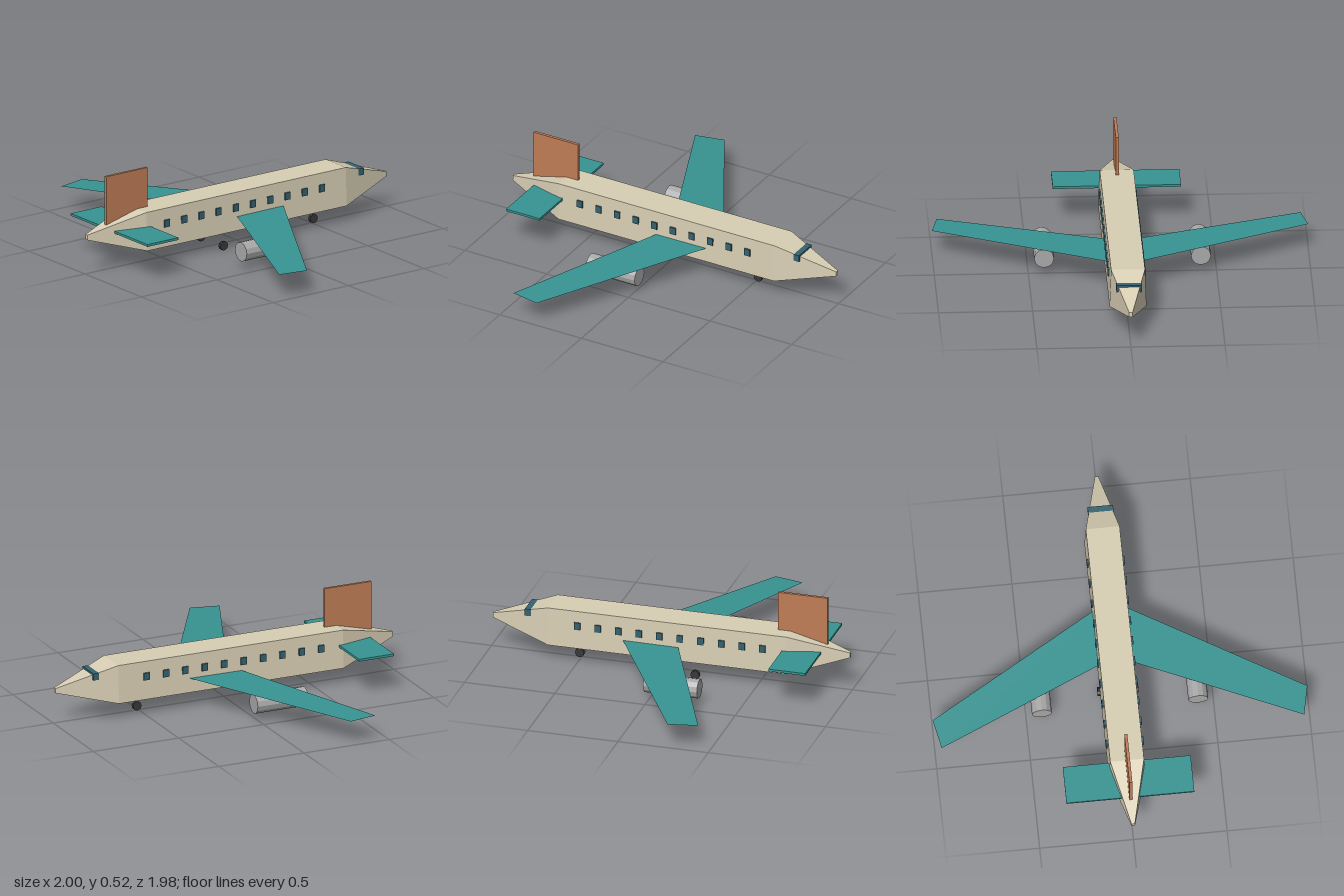
import * as THREE from 'three';

const mat = (name, color, extra = {}) => {
  const m = new THREE.MeshStandardMaterial({ color, flatShading: true, ...extra });
  m.name = name;
  return m;
};

// Flat-faced loft through four-cornered sections running along z
function loft(sections) {
  const rings = sections.map(({ z, bottom, top, wBottom, wTop }) => [
    [-wBottom, bottom, z], [wBottom, bottom, z], [wTop, top, z], [-wTop, top, z],
  ]);
  const pos = [];
  const quad = (a, b, c, d) => pos.push(...a, ...b, ...c, ...a, ...c, ...d);
  for (let i = 0; i < rings.length - 1; i++) {
    const p = rings[i], q = rings[i + 1];
    for (let k = 0; k < 4; k++) {
      const n = (k + 1) % 4;
      quad(p[k], p[n], q[n], q[k]);
    }
  }
  const first = rings[0], last = rings[rings.length - 1];
  quad(first[3], first[2], first[1], first[0]);
  quad(last[0], last[1], last[2], last[3]);
  const g = new THREE.BufferGeometry();
  g.setAttribute('position', new THREE.Float32BufferAttribute(pos, 3));
  g.computeVertexNormals();
  return g;
}

// Swept wing sheet; s is the side, +1 or -1
function wingGeometry(s) {
  const corners = [[0.07, 0.17, -0.258], [0.07, 0.168, 0.053], [0.967, 0.136, 0.435], [1, 0.137, 0.275]];
  const g = new THREE.BufferGeometry();
  g.setAttribute('position', new THREE.Float32BufferAttribute(corners.flatMap(([x, y, z]) => [s * x, y, z]), 3));
  g.setIndex(s > 0 ? [0, 1, 2, 0, 2, 3] : [0, 2, 1, 0, 3, 2]);
  g.computeVertexNormals();
  return g;
}

export function createModel() {
  const model = new THREE.Group();
  model.name = 'airliner';
  const cream = mat('cream body', 0xd8ceb4);
  const teal = mat('teal wing', 0x379492);
  const tealSheet = mat('teal wing', 0x379492, { side: THREE.DoubleSide });
  const rust = mat('rust fin', 0xbf7d56);
  const grey = mat('engine grey', 0xa8a9a8);
  const glass = mat('window blue', 0x356270);
  const rubber = mat('tyre black', 0x38383a);

  const add = (name, geometry, material, x = 0, y = 0, z = 0) => {
    const m = new THREE.Mesh(geometry, material);
    m.name = name;
    m.position.set(x, y, z);
    model.add(m);
    return m;
  };
  const box = (w, h, d) => new THREE.BoxGeometry(w, h, d);

  // Body with tapered nose (-z) and tail (+z)
  add('fuselage', loft([
    { z: -0.99, bottom: 0.171, top: 0.197, wBottom: 0.01, wTop: 0.009 },
    { z: -0.66, bottom: 0.09, top: 0.302, wBottom: 0.098, wTop: 0.09 },
    { z: 0.66, bottom: 0.09, top: 0.302, wBottom: 0.098, wTop: 0.09 },
    { z: 0.99, bottom: 0.19, top: 0.218, wBottom: 0.01, wTop: 0.009 },
  ]), cream);

  // Tail surfaces and windscreen
  add('tailFin', box(0.016, 0.273, 0.274), rust, 0, 0.3825, 0.728);
  add('tailplane', box(0.682, 0.013, 0.204), teal, 0, 0.215, 0.738);
  add('windscreen', box(0.136, 0.038, 0.034), glass, 0, 0.25, -0.779);

  // Parts repeated on both sides
  const engine = new THREE.CylinderGeometry(0.053, 0.053, 0.298, 12).rotateX(Math.PI / 2);
  const wheel = new THREE.CylinderGeometry(0.025, 0.025, 0.018, 10).rotateZ(Math.PI / 2);
  const pane = box(0.014, 0.04, 0.034);
  for (const s of [1, -1]) {
    const side = s > 0 ? 'left' : 'right';
    add(side + 'Wing', wingGeometry(s), tealSheet);
    add(side + 'Engine', engine, grey, s * 0.417, 0.094, 0.129);
    add(side + 'Wheel', wheel, rubber, s * 0.1, 0.025, 0.159);
    for (let i = 0; i < 10; i++) {
      add(side + 'Window', pane, glass, s * 0.094, 0.219, -0.497 + i * 0.114);
    }
  }
  add('noseWheel', wheel, rubber, 0, 0.025, -0.51);

  return model;
}
